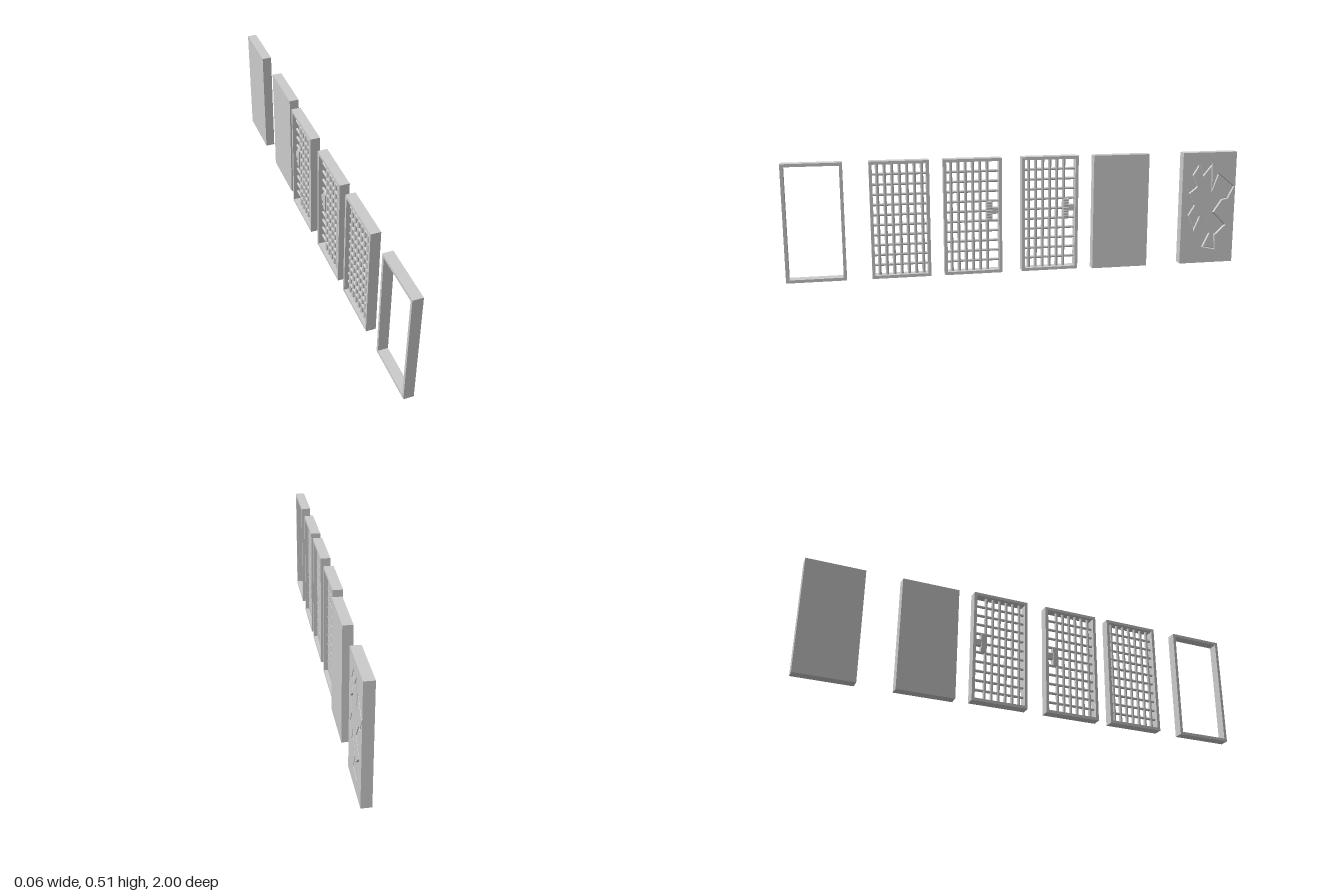
import * as THREE from 'three';

const W = 0.253, H = 0.51, D = 0.0425, RIM = 0.013;
const material = new THREE.MeshStandardMaterial({ color: 0xcccccc, flatShading: true });
const smooth = new THREE.MeshStandardMaterial({ color: 0xcccccc });
const thin = new THREE.MeshStandardMaterial({ color: 0xcccccc, flatShading: true, side: THREE.DoubleSide });

function add(group, name, geometry, x = 0, y = 0, z = 0, mat = material) {
  const mesh = new THREE.Mesh(geometry, mat);
  mesh.name = name;
  mesh.position.set(x, y, z);
  group.add(mesh);
}

const toPoints = list => list.map(([x, y]) => new THREE.Vector2(x, y));

// Rectangle with one hole, extruded through the given depth
function plateWithHole(holePoints, depth) {
  const shape = new THREE.Shape(toPoints([[-W / 2, 0], [W / 2, 0], [W / 2, H], [-W / 2, H]]));
  shape.holes.push(new THREE.Path(holePoints));
  return new THREE.ExtrudeGeometry(shape, { depth, bevelEnabled: false });
}

function addFrame(group) {
  const a = W / 2 - RIM;
  add(group, 'doorFrame', plateWithHole(toPoints([[-a, RIM], [-a, H - RIM], [a, H - RIM], [a, RIM]]), D), 0, 0, -D / 2);
}

// Round bars crossing inside the frame; uprights start from the left jamb
function addBars(group, columns) {
  const innerW = W - 2 * RIM, innerH = H - 2 * RIM, rows = 10;
  const upright = new THREE.CylinderGeometry(0.007, 0.007, innerH, 12);
  const cross = new THREE.CylinderGeometry(0.006, 0.006, innerW, 12).rotateZ(Math.PI / 2);
  for (let i = 0; i < columns; i++) add(group, 'verticalBar', upright, -innerW / 2 + 0.02 + 0.0315 * i, H / 2, 0, smooth);
  for (let j = 1; j <= rows; j++) add(group, 'horizontalBar', cross, 0, RIM + innerH * j / (rows + 1), 0, smooth);
}
const addGrille = group => addBars(group, 7);
const addDoorGrille = group => addBars(group, 6);

// Tall lock plate with ribs and a bolt that reaches towards the jamb
function addLock(group) {
  const lock = new THREE.Group();
  lock.name = 'lock';
  lock.position.set(0.074, 0.277, 0);
  add(lock, 'lockPlate', new THREE.BoxGeometry(0.024, 0.086, 0.022));
  add(lock, 'lockCase', new THREE.BoxGeometry(0.034, 0.028, 0.018), 0.021);
  const rib = new THREE.CylinderGeometry(0.004, 0.004, 0.024, 8).rotateZ(Math.PI / 2);
  for (let i = -3; i <= 3; i++) add(lock, 'lockRib', rib, 0, i * 0.0125, 0.01, smooth);
  group.add(lock);
}

function addSlab(group) {
  add(group, 'slab', new THREE.BoxGeometry(W, H, D), 0, H / 2, 0);
}

// Moves the outline of a clockwise polygon inwards, with limited mitres
function inset(points, distance) {
  const n = points.length;
  return points.map((p, i) => {
    const a = p.clone().sub(points[(i + n - 1) % n]).normalize();
    const b = points[(i + 1) % n].clone().sub(p).normalize();
    const normalA = new THREE.Vector2(a.y, -a.x), normalB = new THREE.Vector2(b.y, -b.x);
    const mitre = normalA.clone().add(normalB).normalize();
    return p.clone().addScaledVector(mitre, distance / Math.max(0.4, mitre.dot(normalA)));
  });
}

// V-shaped groove between an outline and its inset
function grooveGeometry(outer, middle, inner, depth) {
  const n = outer.length, positions = [], indices = [];
  [[outer, 0], [middle, -depth], [inner, 0]].forEach(([ring, z]) => ring.forEach(p => positions.push(p.x, p.y, z)));
  for (let r = 0; r < 2; r++) {
    for (let i = 0; i < n; i++) {
      const a = r * n + i, b = r * n + (i + 1) % n;
      indices.push(a, b, b + n, a, b + n, a + n);
    }
  }
  const geometry = new THREE.BufferGeometry();
  geometry.setAttribute('position', new THREE.Float32BufferAttribute(positions, 3));
  geometry.setIndex(indices);
  const flat = geometry.toNonIndexed();
  flat.computeVertexNormals();
  return flat;
}

// Slab with a jagged crack in its face; outline in fractions of the slab
function addCrackedSlab(group) {
  const depth = 0.007, width = 0.007;
  const outline = toPoints([
    [0.17, 0.8], [0.3, 0.905], [0.39, 0.81], [0.55, 0.905], [0.56, 0.67], [0.66, 0.82], [0.98, 0.69],
    [0.87, 0.58], [0.76, 0.57], [0.61, 0.46], [0.85, 0.34], [0.65, 0.25], [0.67, 0.115], [0.4, 0.145],
    [0.52, 0.27], [0.35, 0.42], [0.24, 0.29], [0.11, 0.44], [0.22, 0.53], [0.11, 0.64], [0.26, 0.7],
  ].map(([u, v]) => [(u - 0.5) * W, v * H]));
  const inner = inset(outline, width);
  add(group, 'crackedFace', plateWithHole(outline, depth), 0, 0, D / 2 - depth);
  add(group, 'crack', grooveGeometry(outline, inset(outline, width / 2), inner, depth), 0, 0, D / 2, thin);
  add(group, 'innerFace', new THREE.ShapeGeometry(new THREE.Shape(inner)), 0, 0, D / 2);
  add(group, 'slab', new THREE.BoxGeometry(W, H, D - depth), 0, H / 2, -depth / 2);
}

export function createModel() {
  const model = new THREE.Group();
  model.name = 'doorSet';
  const panels = [
    ['openFrame', 0.8735, -0.007, [addFrame]],
    ['barredPanel', 0.512, -0.007, [addFrame, addGrille]],
    ['barredDoor', 0.199, -0.007, [addFrame, addDoorGrille, addLock]],
    ['secondBarredDoor', -0.142, -0.007, [addFrame, addDoorGrille, addLock]],
    ['solidDoor', -0.461, 0.007, [addSlab]],
    ['crackedDoor', -0.8735, 0.007, [addCrackedSlab]],
  ];
  // Each panel is built facing +z, then turned to face +x
  for (const [name, z, x, parts] of panels) {
    const panel = new THREE.Group();
    panel.name = name;
    parts.forEach(part => part(panel));
    panel.rotation.y = Math.PI / 2;
    panel.position.set(x, 0, z);
    model.add(panel);
  }
  return model;
}
